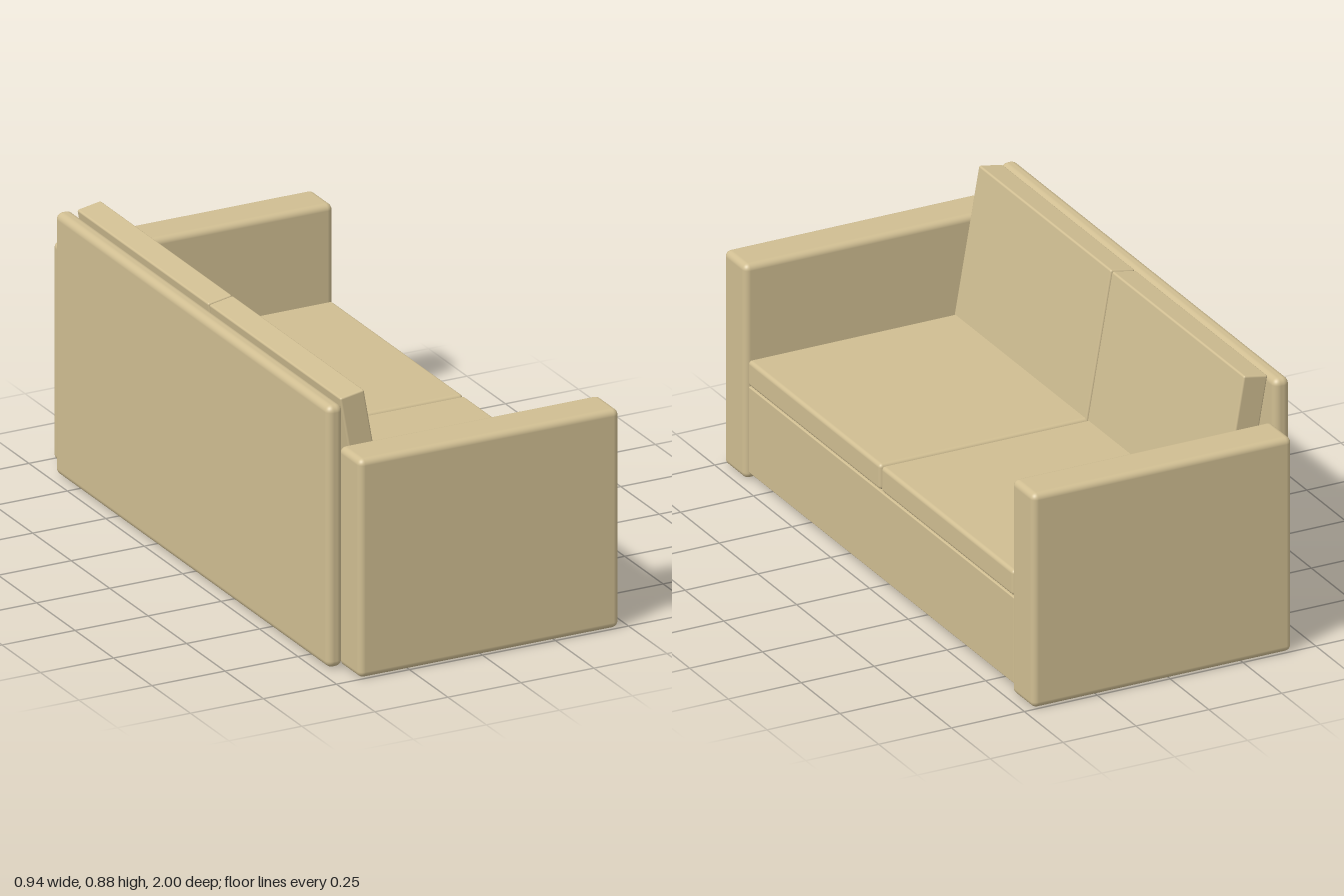
import * as THREE from 'three';
import { RoundedBoxGeometry } from 'three/addons/geometries/RoundedBoxGeometry.js';

export function createModel() {
  const sofa = new THREE.Group();
  sofa.name = 'sofa';
  const fabric = new THREE.MeshStandardMaterial({ color: 0xd0be92 });
  fabric.name = 'beige fabric';

  // Rounded block given by its extents on each axis
  function block(name, [x0, x1], [y0, y1], [z0, z1], radius) {
    const mesh = new THREE.Mesh(
      new RoundedBoxGeometry(x1 - x0, y1 - y0, z1 - z0, 4, radius), fabric);
    mesh.name = name;
    mesh.position.set((x0 + x1) / 2, (y0 + y1) / 2, (z0 + z1) / 2);
    sofa.add(mesh);
    return mesh;
  }

  // Seat base, stopping short of the back panel
  block('seatBase', [-0.27, 0.46], [0.025, 0.313], [-0.858, 0.858], 0.004);

  // Upright panel behind the arms
  block('backPanel', [-0.471, -0.417], [0.002, 0.859], [-0.89, 0.89], 0.022);

  for (const side of [1, -1]) {
    const label = side > 0 ? 'Near' : 'Far';
    const span = (a, b) => (side > 0 ? [a, b] : [-b, -a]);

    // Slab arm
    block('arm' + label, [-0.42, 0.47], [0, 0.715], span(0.86, 1), 0.02);

    // Seat cushion
    block('seatCushion' + label, [-0.27, 0.463], [0.317, 0.402], span(0.003, 0.857), 0.012);

    // Back cushion, leaning against the panel
    const cushion = block('backCushion' + label,
      [-0.3635, -0.2805], [0.317, 0.877], span(0.003, 0.857), 0.006);
    cushion.rotation.z = THREE.MathUtils.degToRad(10);
  }

  return sofa;
}
